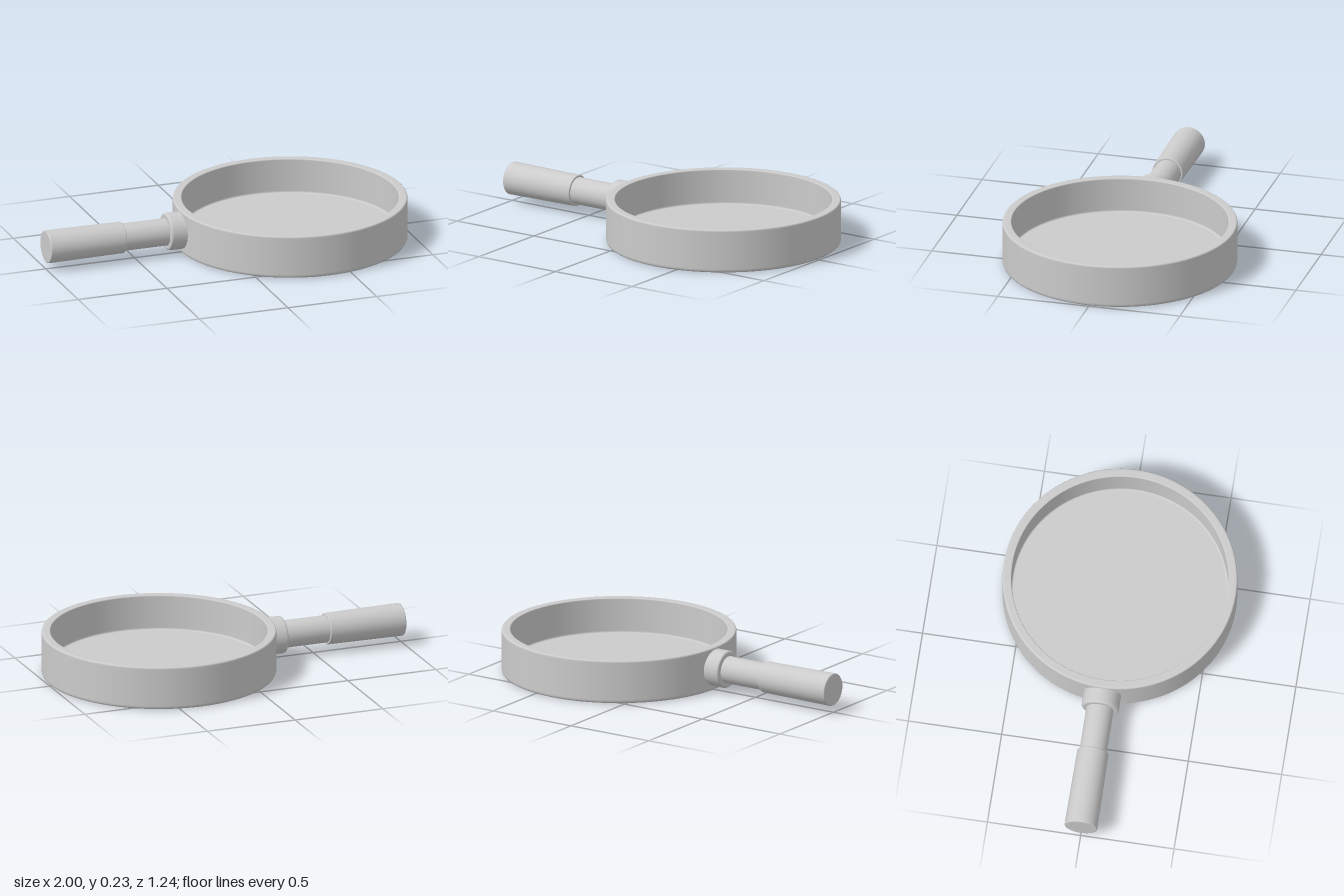
import * as THREE from 'three';

const material = new THREE.MeshStandardMaterial({ color: 0xcccccc });

// Lathe profile from [radius, height, fillet] corners; extra points beside each fillet keep flats flat.
function roundedProfile(corners) {
  const pts = [];
  corners.forEach(([r, y, f], i) => {
    const p = new THREE.Vector2(r, y);
    if (!f) { pts.push(p); return; }
    const toward = (q, d) => new THREE.Vector2(q[0], q[1]).sub(p).setLength(d).add(p);
    const prev = corners[i - 1], next = corners[i + 1];
    const a = toward(prev, f), b = toward(next, f);
    pts.push(toward(prev, f + 0.002));
    pts.push(...new THREE.QuadraticBezierCurve(a, p, b).getPoints(5));
    pts.push(toward(next, f + 0.002));
  });
  return pts;
}

function turned(name, corners, segments) {
  const mesh = new THREE.Mesh(new THREE.LatheGeometry(roundedProfile(corners), segments), material);
  mesh.name = name;
  return mesh;
}

export function createModel() {
  const model = new THREE.Group();
  model.name = 'fryingPan';

  // Pan body: base, outer wall, flat rim, inner wall and floor
  const pan = turned('panBody', [
    [0, 0, 0], [0.622, 0, 0.018], [0.622, 0.235, 0.01],
    [0.575, 0.235, 0.006], [0.575, 0.045, 0.01], [0, 0.045, 0],
  ], 96);
  pan.position.x = 0.378;
  model.add(pan);

  // Handle: turned parts stacked outward along -x
  const handle = new THREE.Group();
  handle.name = 'handle';
  handle.add(
    turned('collar', [[0, 0.215, 0], [0.1, 0.215, 0.008], [0.1, 0.325, 0.012], [0, 0.325, 0]], 48),
    turned('rod', [[0, 0.3, 0], [0.073, 0.3, 0.004], [0.073, 0.6, 0.004], [0, 0.6, 0]], 48),
    turned('grip', [[0, 0.57, 0], [0.084, 0.57, 0.006], [0.088, 1, 0.007], [0, 1, 0]], 48),
  );
  handle.rotation.z = Math.PI / 2;
  handle.position.y = 0.124;
  model.add(handle);

  return model;
}
